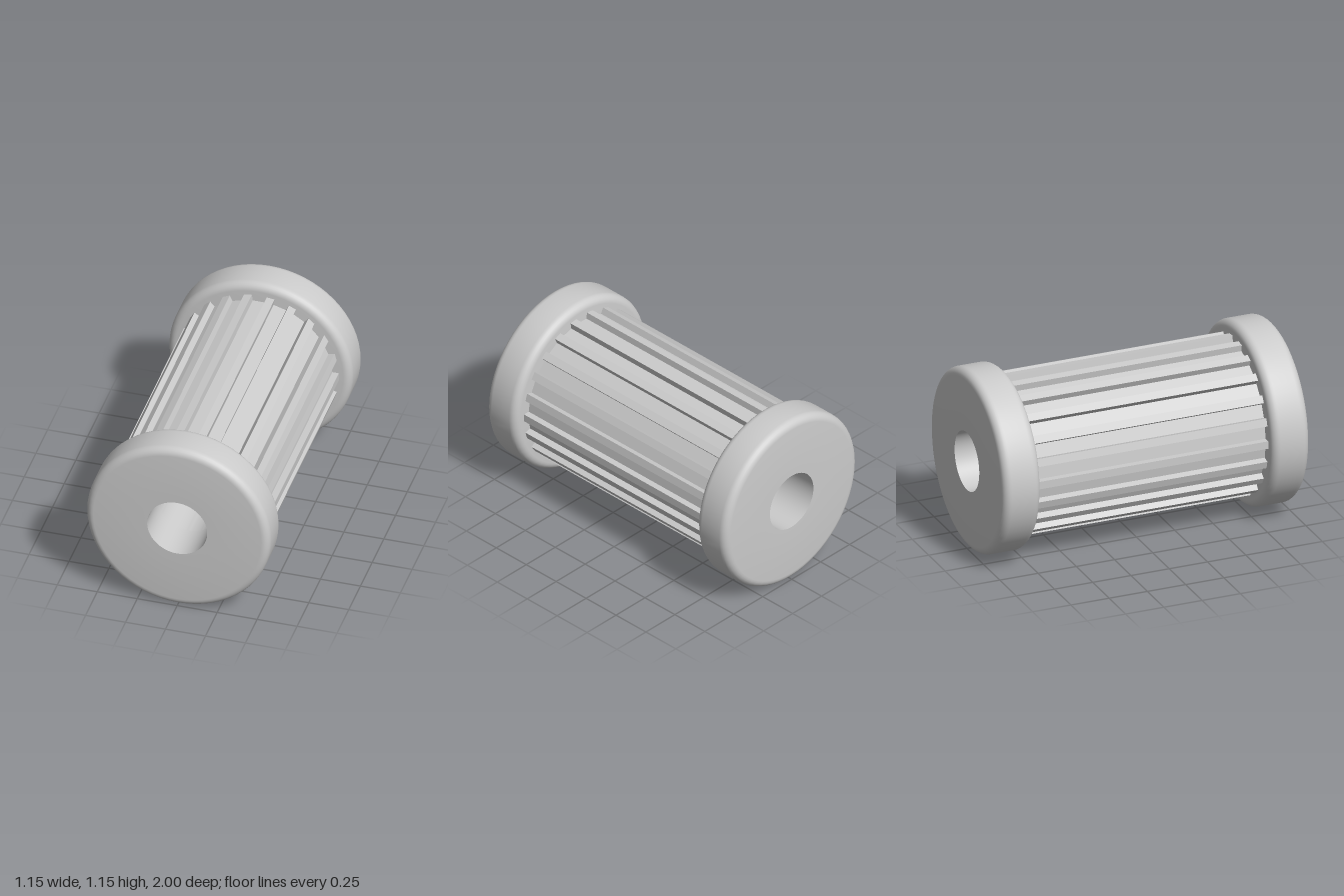
import * as THREE from 'three';
import { toCreasedNormals } from 'three/addons/utils/BufferGeometryUtils.js';

const CENTER_Y = 0.575;
const BORE = 0.188;
const CAP_R = 0.575, CAP_LEN = 0.245, FILLET = 0.05;
const RIBS = 22, RIB_R = 0.498, CORE_R = 0.457, RIB_HALF = 0.0245;
const SEGMENTS = 64;

// End cap: ring with both outer rims rounded, turned about z
function capGeometry() {
  const h = CAP_LEN / 2;
  const profile = [new THREE.Vector2(BORE, -h)];
  for (const side of [-1, 1]) {
    for (let i = 0; i <= 6; i++) {
      const a = (side < 0 ? i - 6 : i) * Math.PI / 12;
      profile.push(new THREE.Vector2(
        CAP_R - FILLET + FILLET * Math.cos(a),
        side * (h - FILLET) + FILLET * Math.sin(a)));
    }
  }
  profile.push(new THREE.Vector2(BORE, h), new THREE.Vector2(BORE, -h));
  const geo = new THREE.LatheGeometry(profile, SEGMENTS);
  geo.rotateX(Math.PI / 2);
  return toCreasedNormals(geo, 0.6);
}

// Body: core with straight-sided ribs and a through bore
function bodyGeometry(length) {
  const points = [];
  for (let i = 0; i < RIBS; i++) {
    const angle = i * 2 * Math.PI / RIBS;
    const corners = [[CORE_R, -1], [RIB_R, -1], [RIB_R, 1], [CORE_R, 1]];
    for (const [r, side] of corners) {
      points.push(new THREE.Vector2(r, side * RIB_HALF)
        .rotateAround(new THREE.Vector2(), angle));
    }
  }
  const shape = new THREE.Shape(points);
  shape.holes.push(new THREE.Path().absarc(0, 0, BORE, 0, 2 * Math.PI, true));
  const geo = new THREE.ExtrudeGeometry(shape, {
    depth: length, bevelEnabled: false, curveSegments: SEGMENTS,
  });
  geo.translate(0, 0, -length / 2);
  return toCreasedNormals(geo, 0.2);
}

export function createModel() {
  const group = new THREE.Group();
  group.name = 'ribbedRoller';
  const material = new THREE.MeshStandardMaterial({ color: 0xcccccc });

  const add = (name, geometry, z) => {
    const mesh = new THREE.Mesh(geometry, material);
    mesh.name = name;
    mesh.position.set(0, CENTER_Y, z);
    group.add(mesh);
  };

  add('ribbedBody', bodyGeometry(2 - 2 * CAP_LEN), 0);
  const cap = capGeometry();
  add('frontCap', cap, 1 - CAP_LEN / 2);
  add('backCap', cap, -1 + CAP_LEN / 2);
  return group;
}
